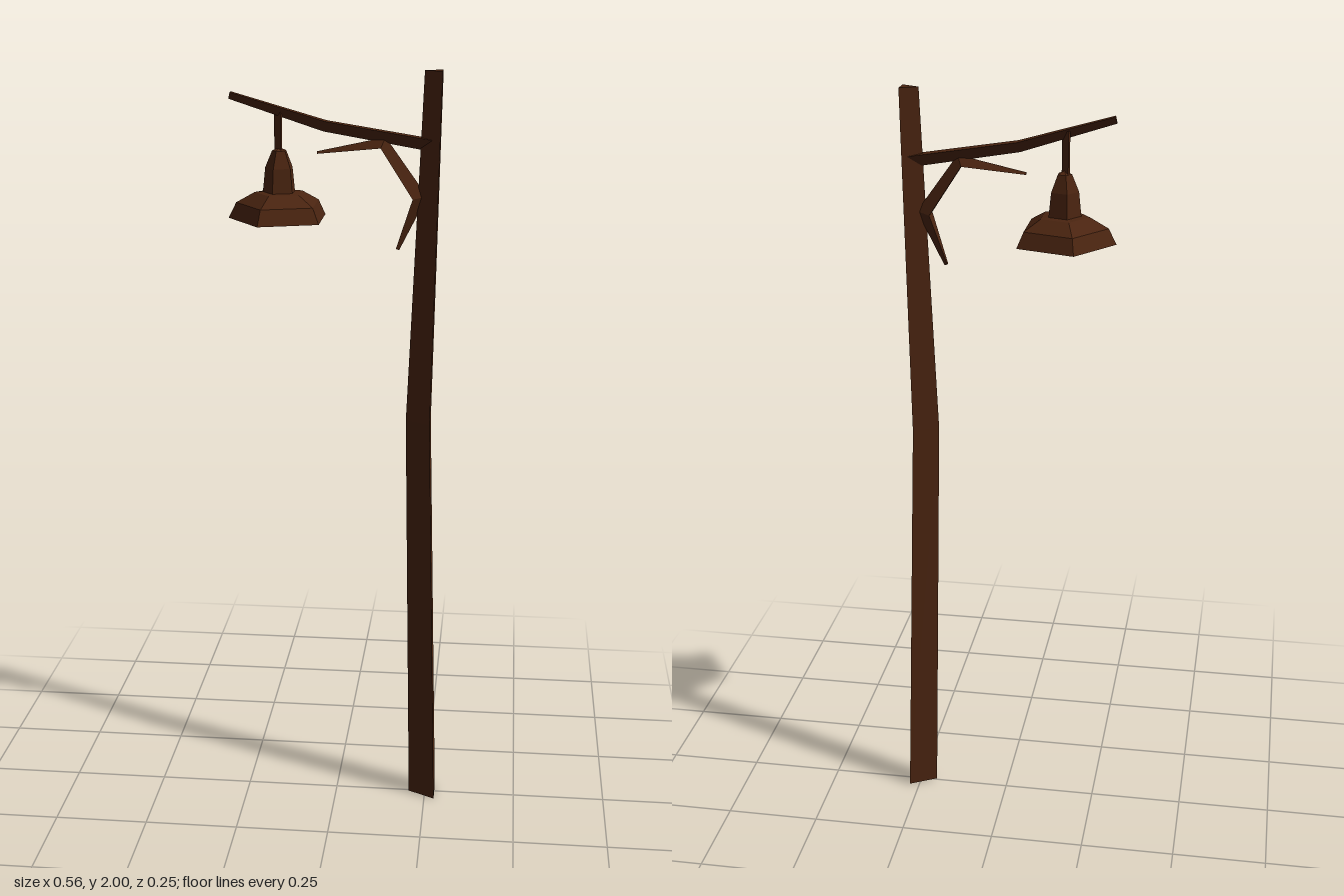
import * as THREE from 'three';

const wood = new THREE.MeshStandardMaterial({ color: 0x4a2410, flatShading: true, side: THREE.DoubleSide });
wood.name = 'darkBrown';

// Joins equal-sized cross-sections (counter-clockwise about the direction of travel) and caps the ends
function loft(sections) {
  const pos = [];
  const n = sections[0].length;
  const tri = (a, b, c) => pos.push(...a, ...b, ...c);
  for (let s = 0; s < sections.length - 1; s++) {
    const p = sections[s], q = sections[s + 1];
    for (let i = 0; i < n; i++) {
      const j = (i + 1) % n;
      tri(p[i], p[j], q[j]);
      tri(p[i], q[j], q[i]);
    }
  }
  const first = sections[0], last = sections[sections.length - 1];
  for (let i = 1; i < n - 1; i++) {
    tri(first[0], first[i + 1], first[i]);
    tri(last[0], last[i], last[i + 1]);
  }
  const geometry = new THREE.BufferGeometry();
  geometry.setAttribute('position', new THREE.Float32BufferAttribute(pos, 3));
  geometry.computeVertexNormals();
  return geometry;
}

// Three-sided stick along a path in the xy plane; each point is [x, y, radius]
function stick(path, z) {
  return loft(path.map(([x, y, r], i) => {
    const a = path[Math.max(i - 1, 0)], b = path[Math.min(i + 1, path.length - 1)];
    const t = new THREE.Vector2(b[0] - a[0], b[1] - a[1]).normalize();
    return [0, 1, 2].map((k) => {
      const angle = k * Math.PI * 2 / 3;
      const u = r * Math.cos(angle);
      return [x - t.y * u, y + t.x * u, z + r * Math.sin(angle)];
    });
  }));
}

export function createModel() {
  const group = new THREE.Group();
  const add = (name, geometry) => {
    const mesh = new THREE.Mesh(geometry, wood);
    mesh.name = name;
    group.add(mesh);
    return mesh;
  };

  // Crooked triangular post: [y, tip x, back x, tip z, front z, rear z]
  add('post', loft([
    [0, 0.205, 0.277, 0.005, 0.043, -0.035],
    [1.1, 0.183, 0.247, 0.014, 0.051, -0.02],
    [2, 0.218, 0.263, 0.004, 0.028, -0.02],
  ].map(([y, tip, back, tz, fz, rz]) => [[tip, y, tz], [back, y, fz], [back, y, rz]])));

  // Rising arm
  add('arm', stick([[0.245, 1.82, 0.02], [-0.03, 1.865, 0.018], [-0.27, 1.937, 0.012]], 0.004));

  // Bent brace with pointed ends
  add('brace', stick([[-0.05, 1.794, 0.004], [0.115, 1.818, 0.019], [0.205, 1.685, 0.024], [0.154, 1.553, 0.006]], 0.004));

  // Flat strap holding the lamp
  const hanger = add('hanger', new THREE.BoxGeometry(0.026, 0.12, 0.005));
  hanger.position.set(-0.149, 1.845, 0);
  hanger.rotation.y = -Math.PI / 4;

  // Five-sided lamp, open below
  const profile = (points) => new THREE.LatheGeometry(
    points.map(([r, y]) => new THREE.Vector2(r, y)), 5, -Math.PI / 2);
  const shade = add('lampShade', profile([[0.133, 1.625], [0.113, 1.665], [0.065, 1.692], [0.04, 1.694]]));
  const cap = add('lampCap', profile([[0.044, 1.69], [0.037, 1.755], [0.019, 1.798], [0, 1.806]]));
  for (const part of [shade, cap]) part.position.x = -0.146;

  return group;
}
